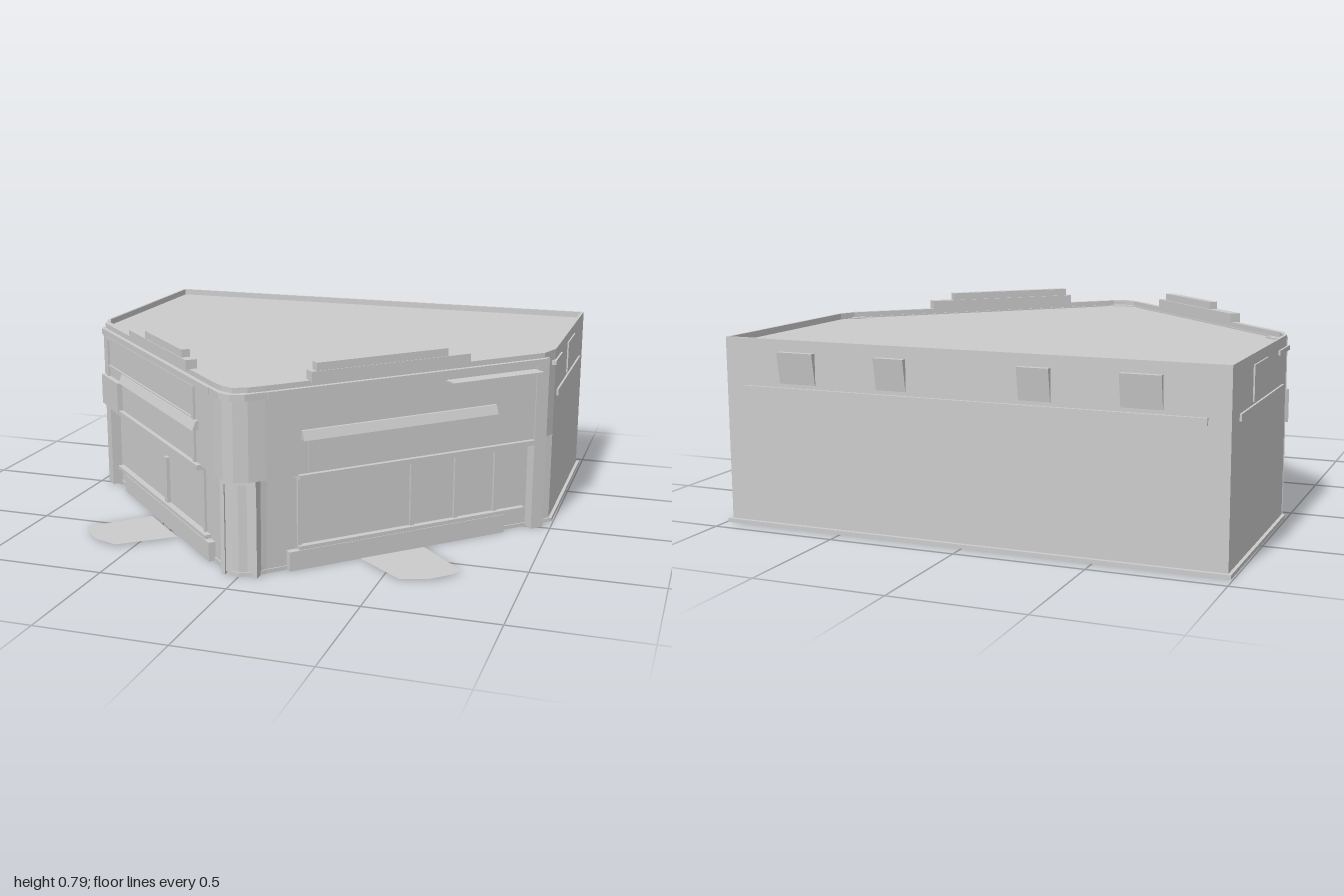
import * as THREE from 'three';

const material = new THREE.MeshStandardMaterial({ color: 0xcccccc, flatShading: true, side: THREE.DoubleSide });
const R = Math.SQRT1_2;

// Five-sided footprint: w half width, b back distance, f push of the two front faces along their normals
function outline(w, b, f) {
  const k = f * R, tip = 0.915 + f;
  const right = [[w, -b], [w, -0.09], [w - 0.03, 0.98 + 2 * k - w], [0.1 + k * 0.5, 0.85 + k * 1.5], [0.05, tip - 0.022]];
  const left = right.map(([x, z]) => [-x, z]).reverse();
  return [...right, [0, tip], ...left].map(([x, z]) => new THREE.Vector2(x, -z));
}

export function createModel() {
  const model = new THREE.Group();

  function add(name, geometry, parent = model) {
    const mesh = new THREE.Mesh(geometry, material);
    mesh.name = name;
    parent.add(mesh);
    return mesh;
  }

  // Horizontal slab or ring between two heights
  function slab(name, outer, y0, y1, inner) {
    const shape = new THREE.Shape(outer);
    if (inner) shape.holes.push(new THREE.Path(inner));
    const g = new THREE.ExtrudeGeometry(shape, { depth: y1 - y0, bevelEnabled: false });
    g.rotateX(-Math.PI / 2);
    g.translate(0, y0, 0);
    return add(name, g);
  }

  // Box from its limits
  function box(name, x0, x1, y0, y1, z0, z1, parent) {
    const g = new THREE.BoxGeometry(x1 - x0, y1 - y0, z1 - z0);
    g.translate((x0 + x1) / 2, (y0 + y1) / 2, (z0 + z1) / 2);
    return add(name, g, parent);
  }

  // Move the vertices of a box picked by a test
  function shiftZ(mesh, test, z) {
    const p = mesh.geometry.attributes.position;
    for (let i = 0; i < p.count; i++) if (test(p.getY(i), p.getZ(i))) p.setZ(i, z);
    mesh.geometry.computeVertexNormals();
  }

  // Shell: recessed ground floor, overhanging upper floor, roof deck and parapet
  slab('plinth', outline(0.993, 0.93, -0.035), 0, 0.015, outline(0.95, 0.76, -0.085));
  slab('lowerWalls', outline(0.98, 0.915, -0.04), 0.01, 0.37, outline(0.955, 0.89, -0.075));
  slab('upperWalls', outline(0.98, 0.915, 0), 0.37, 0.72, outline(0.968, 0.903, -0.025));
  slab('roofDeck', outline(0.972, 0.908, -0.02), 0.67, 0.695);

  // Front faces, x given as distance from the centre line in elevation
  for (const s of [1, -1]) {
    const facade = new THREE.Group();
    facade.name = s > 0 ? 'leftFacade' : 'rightFacade';
    facade.position.set(s * 0.1, 0, 0.85);
    facade.rotation.y = s * Math.PI / 4;
    model.add(facade);
    const part = (name, x0, x1, y0, y1, z0, z1) => {
      const a = s * (x0 - 0.1) / R, b = s * (x1 - 0.1) / R;
      return box(name, Math.min(a, b), Math.max(a, b), y0, y1, z0, z1, facade);
    };

    // Ground floor shop front
    part('baseLedge', 0.17, 0.84, 0, 0.075, -0.06, -0.012);
    part('baseLedgeCap', 0.2, 0.91, 0.075, 0.09, -0.06, -0.015);
    for (const x of s > 0 ? [0.2, 0.54, 0.68, 0.81] : [0.225]) part('windowPost', x, x + 0.012, 0.02, 0.36, -0.06, -0.03);
    part('canopyLedge', 0.19, 0.92, 0.355, 0.375, -0.05, 0.018);
    part('cornerPier', 0.925, 0.965, 0, 0.7, -0.06, 0.004);

    // Upper floor panel and sloped awning
    part('upperPanel', 0.22, s > 0 ? 0.8 : 0.69, 0.38, 0.5, -0.02, 0.006);
    const awning = part('awning', 0.2, 0.79, 0.505, 0.54, -0.02, 0.026);
    shiftZ(awning, (y, z) => z > 0 && y > 0.52, 0.012);

    // Cornice and stepped roof sign
    part('cornice', 0.1, 0.95, 0.675, 0.7, -0.03, 0.018);
    part('signBase', s > 0 ? 0.225 : 0.255, 0.7, 0.715, 0.755, -0.03, 0.015);
    part('signTop', s > 0 ? 0.24 : 0.29, s > 0 ? 0.63 : 0.57, 0.755, 0.785, -0.022, 0.012);

    if (s < 0) {
      // Upper window frame, corner sign and door panel
      part('frameTop', 0.22, 0.93, 0.655, 0.668, -0.02, 0.01);
      part('frameBottom', 0.22, 0.93, 0.535, 0.545, -0.02, 0.008);
      for (const x of [0.22, 0.92]) part('framePost', x, x + 0.013, 0.37, 0.668, -0.02, 0.01);
      part('cornerSign', 0.815, 0.96, 0.365, 0.495, -0.03, 0.022);
      part('doorPanel', 0.5, 0.52, 0.09, 0.28, -0.05, -0.025);
    } else {
      // Thin shelf under the cornice
      part('eaveShelf', 0.63, 0.92, 0.655, 0.66, 0, 0.06);
    }

    // Ground mat in front of the shop window
    const mat = new THREE.Shape([[0.575, 0.385], [0.765, 0.58], [0.74, 0.63], [0.67, 0.7], [0.57, 0.735], [0.375, 0.58]]
      .map(([x, z]) => new THREE.Vector2(s * x, -z)));
    const g = new THREE.ShapeGeometry(mat);
    g.rotateX(-Math.PI / 2);
    g.translate(0, 0.008, 0);
    add('groundMat', g);

    // Side wall trim and window
    const side = (name, y0, y1, z0, z1, out) =>
      box(name, s > 0 ? 0.96 : -0.98 - out, s > 0 ? 0.98 + out : -0.96, y0, y1, z0, z1);
    side('sideRail', 0.515, 0.54, -0.81, -0.15, 0.008);
    side('sideWindow', 0.55, 0.68, -0.625, -0.415, 0.006);
    side('sideCorniceEnd', 0.66, 0.678, -0.23, -0.06, 0.008);

    // Tilted hopper windows in the back wall
    for (const [x, w] of [[0.28, 0.12], [0.67, 0.15]]) {
      const hopper = box('backWindow', s * x - w / 2, s * x + w / 2, 0.555, 0.675, -0.938, -0.9);
      shiftZ(hopper, (y, z) => z < -0.92 && y < 0.6, -0.918);
    }
  }

  // Corner cornice, entrance and back rail
  const nose = new THREE.Shape([[-0.12, -0.85], [0.12, -0.85], [0.05, -0.92], [0, -0.94], [-0.05, -0.92]]
    .map(([x, y]) => new THREE.Vector2(x, y)));
  const noseGeometry = new THREE.ExtrudeGeometry(nose, { depth: 0.025, bevelEnabled: false });
  noseGeometry.rotateX(-Math.PI / 2);
  // Shape points already run towards -y, which becomes +z
  noseGeometry.translate(0, 0.675, 0);
  add('cornerCornice', noseGeometry);
  box('door', -0.055, 0.055, 0.01, 0.35, 0.82, 0.862);
  for (const x of [-0.07, 0.055]) box('doorJamb', x, x + 0.015, 0, 0.365, 0.82, 0.872);
  box('doorLintel', -0.07, 0.07, 0.35, 0.37, 0.82, 0.875);
  box('backRail', -0.9, 0.9, 0.515, 0.54, -0.927, -0.9);

  return model;
}
